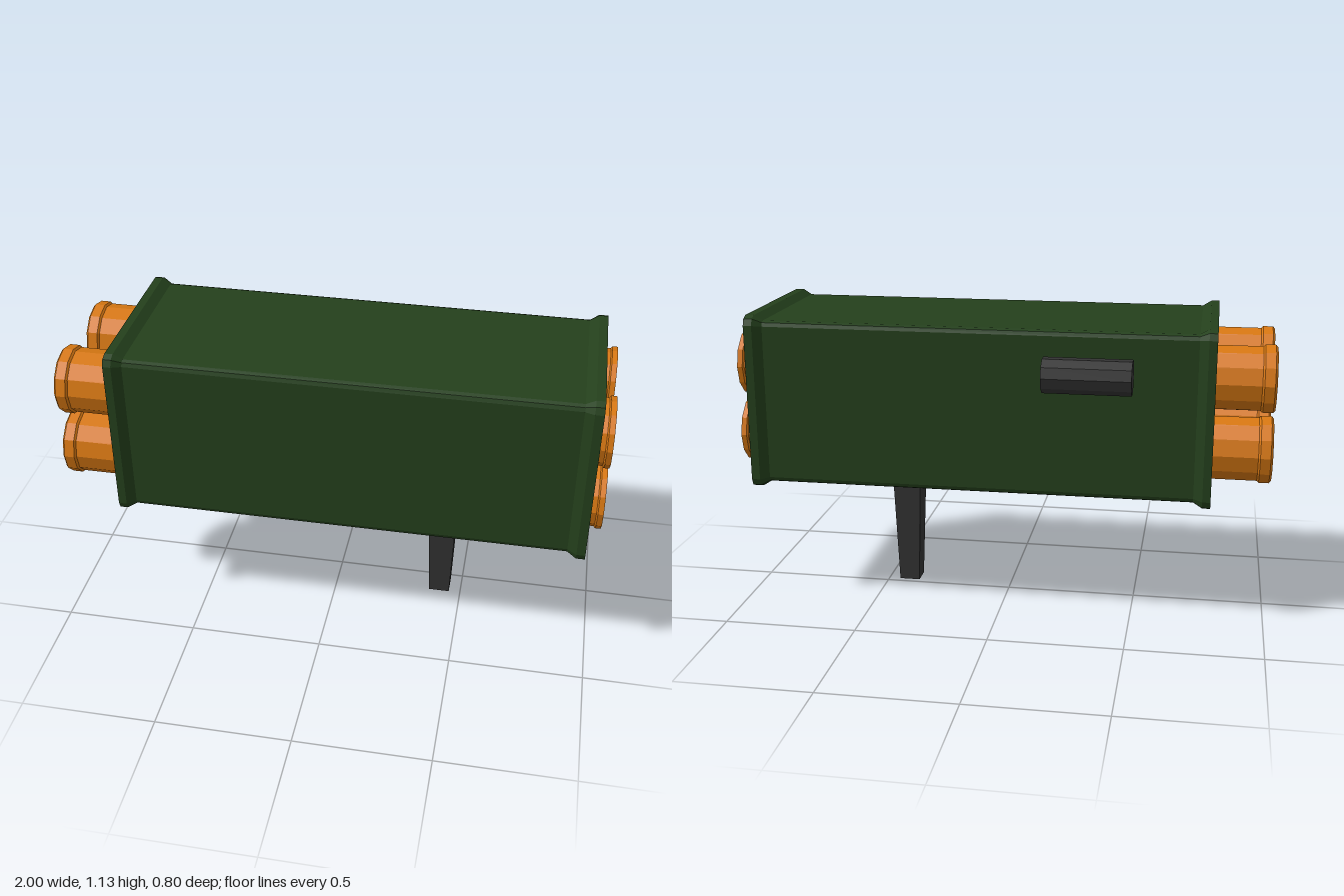
import * as THREE from 'three';

const paint = (color) => new THREE.MeshStandardMaterial({ color, flatShading: true });
const green = paint(0x24401c);
const orange = paint(0xd87812);
const dark = paint(0x333333);

// Loft of square sections with rounded corners along x; stations are [x, half size, corner radius]
function loftSquares(stations) {
  const pos = [];
  const loops = stations.map(([x, h, r]) => {
    const loop = [];
    for (let c = 0; c < 4; c++) {
      const mid = Math.PI / 4 + c * Math.PI / 2;
      const cy = Math.sign(Math.cos(mid)) * (h - r), cz = Math.sign(Math.sin(mid)) * (h - r);
      for (let k = -1; k <= 1; k++) {
        const a = mid + k * Math.PI / 4;
        loop.push([x, cy + r * Math.cos(a), cz + r * Math.sin(a)]);
      }
    }
    return loop;
  });
  const n = loops[0].length;
  const tri = (...p) => p.forEach((v) => pos.push(...v));
  for (let s = 0; s < loops.length - 1; s++) {
    for (let i = 0; i < n; i++) {
      const j = (i + 1) % n, a = loops[s], b = loops[s + 1];
      tri(a[i], a[j], b[j]);
      tri(a[i], b[j], b[i]);
    }
  }
  const first = loops[0], last = loops[loops.length - 1];
  for (let i = 1; i < n - 1; i++) {
    tri(first[0], first[i + 1], first[i]);
    tri(last[0], last[i], last[i + 1]);
  }
  const geo = new THREE.BufferGeometry();
  geo.setAttribute('position', new THREE.Float32BufferAttribute(pos, 3));
  geo.computeVertexNormals();
  return geo;
}

export function createModel() {
  const model = new THREE.Group();
  const add = (name, geo, mat, x, y, z) => {
    const mesh = new THREE.Mesh(geo, mat);
    mesh.name = name;
    mesh.position.set(x, y, z);
    model.add(mesh);
    return mesh;
  };

  // Long casing with a flared collar at each end
  add('casing', loftSquares([
    [-0.785, 0.333, 0.035], [-0.755, 0.333, 0.035], [-0.722, 0.313, 0.02],
    [0.89, 0.313, 0.02], [0.923, 0.333, 0.035], [0.955, 0.333, 0.035],
  ]), green, 0, 0.793, 0.064);

  // Four tubes: narrow rear bore, lipped ends, shallow front cup
  const profile = [
    [0, -0.8], [0.076, -0.8], [0.076, -1], [0.118, -1], [0.127, -0.992], [0.127, -0.955],
    [0.12, -0.948], [0.12, 0.975], [0.127, 0.98], [0.127, 1], [0.099, 1], [0.094, 0.965], [0, 0.965],
  ].map(([r, x]) => new THREE.Vector2(r, x));
  const tubeGeo = new THREE.LatheGeometry(profile, 12).rotateZ(-Math.PI / 2);
  for (const y of [0.66, 0.926]) {
    for (const z of [-0.109, 0.237]) add('tube', tubeGeo, orange, 0, y, z);
  }

  // Tapered square grip flaring out under the casing
  const gripProfile = [[0, 0], [0.04, 0], [0.054, 0.405], [0.083, 0.485], [0, 0.485]]
    .map(([h, y]) => new THREE.Vector2(h * Math.SQRT2, y));
  add('grip', new THREE.LatheGeometry(gripProfile, 4, Math.PI / 4), dark, 0.415, 0, 0.064);

  // Sight cylinder on a short bracket at the back
  add('sight', new THREE.CylinderGeometry(0.065, 0.065, 0.32, 10).rotateZ(Math.PI / 2),
    dark, -0.335, 0.963, -0.333);
  add('sightBracket', new THREE.BoxGeometry(0.105, 0.065, 0.08), dark, -0.337, 0.963, -0.28);

  return model;
}
